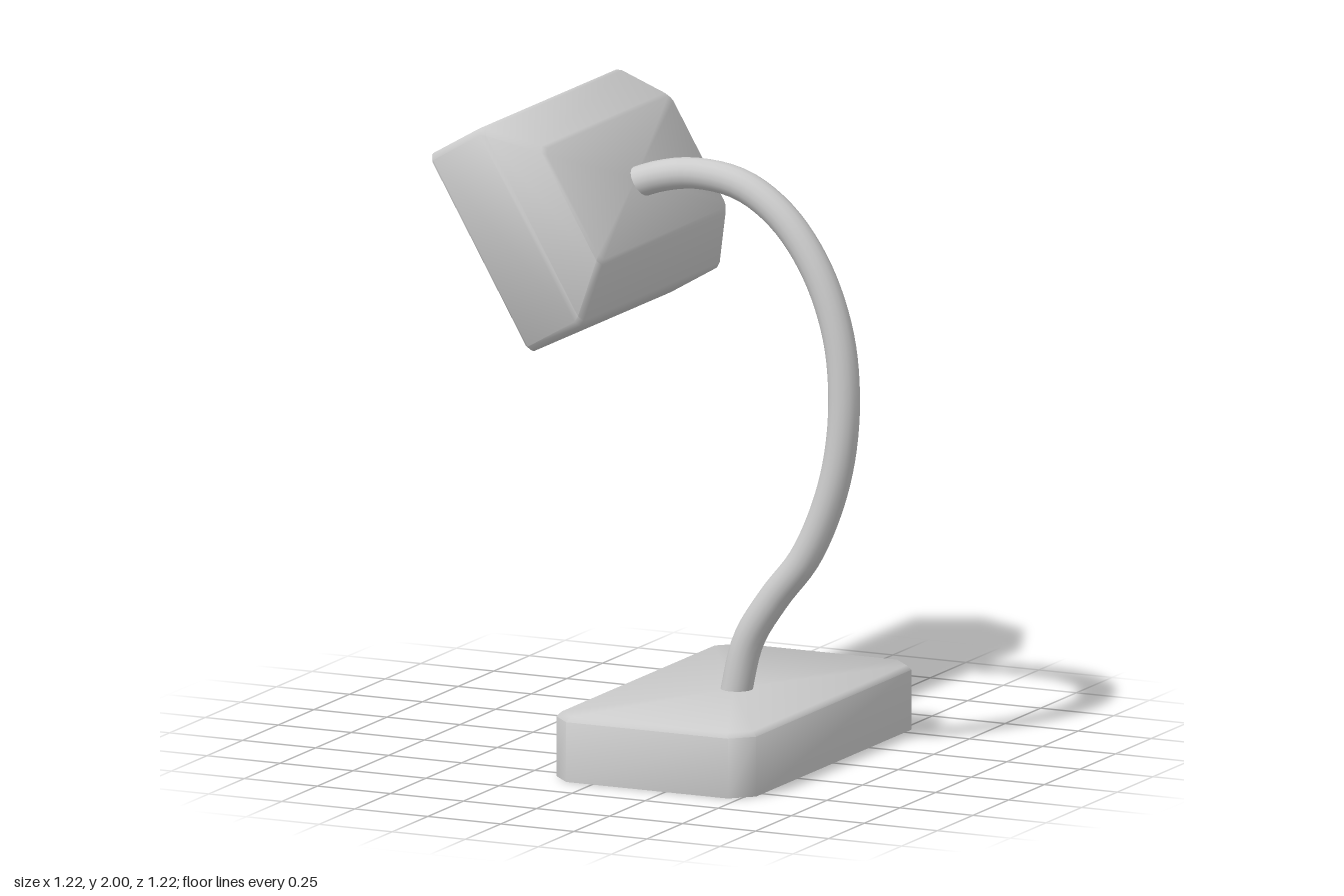
import * as THREE from 'three';
import { toCreasedNormals } from 'three/addons/utils/BufferGeometryUtils.js';

const material = new THREE.MeshStandardMaterial({ color: 0xcccccc });

// Rectangle with cut corners, as [x, z] points
function section(w, d, c) {
  return [
    [w, d - c], [w - c, d], [c - w, d], [-w, d - c],
    [-w, c - d], [c - w, -d], [w - c, -d], [w, c - d],
  ];
}

// Closed solid through a stack of sections [y, halfWidth, halfDepth, cornerCut]
function loft(rings, crease) {
  const pos = [], index = [], n = 8;
  for (const [y, w, d, c] of rings) {
    for (const [x, z] of section(w, d, c)) pos.push(x, y, z);
  }
  const last = (rings.length - 1) * n, centre = rings.length * n;
  pos.push(0, rings[0][0], 0, 0, rings[rings.length - 1][0], 0);
  for (let j = 0; j < n; j++) {
    const k = (j + 1) % n;
    for (let o = 0; o < last; o += n) {
      index.push(o + j, o + n + j, o + k, o + k, o + n + j, o + n + k);
    }
    index.push(centre, j, k, centre + 1, last + k, last + j);
  }
  const geometry = new THREE.BufferGeometry();
  geometry.setAttribute('position', new THREE.Float32BufferAttribute(pos, 3));
  geometry.setIndex(index);
  return toCreasedNormals(geometry, crease);
}

function addPart(parent, name, geometry) {
  const mesh = new THREE.Mesh(geometry, material);
  mesh.name = name;
  parent.add(mesh);
  return mesh;
}

export function createModel() {
  const model = new THREE.Group();
  model.name = 'deskLamp';

  // Heavy base with cut corners and a softened top edge
  const base = addPart(model, 'base', loft([
    [0, 0.342, 0.61, 0.065],
    [0.188, 0.342, 0.61, 0.065],
    [0.203, 0.328, 0.596, 0.06],
  ], 0.9));
  base.position.x = 0.188;

  // Curved neck, leaning slightly back near the top
  const path = new THREE.CatmullRomCurve3([
    [0.19, 0.17, 0], [0.238, 0.36, 0], [0.325, 0.5, 0], [0.43, 0.635, 0],
    [0.505, 0.8, -0.003], [0.548, 0.97, -0.006], [0.56, 1.16, -0.01],
    [0.535, 1.35, -0.016], [0.46, 1.54, -0.022], [0.345, 1.69, -0.028],
    [0.205, 1.78, -0.031], [0.05, 1.805, -0.028], [-0.07, 1.788, -0.022],
    [-0.19, 1.745, -0.017],
  ].map((p) => new THREE.Vector3(...p)));
  addPart(model, 'neck', new THREE.TubeGeometry(path, 64, 0.049, 16));

  // Tilted head: recessed opening, straight sides, tapered back
  const head = new THREE.Group();
  head.name = 'head';
  head.position.set(-0.4425, 1.605, 0);
  head.rotation.z = -1.042;
  model.add(head);
  addPart(head, 'shade', loft([
    [0.035, 0.312, 0.47, 0.012],
    [0, 0.312, 0.47, 0.012],
    [0, 0.336, 0.494, 0.018],
    [0.008, 0.342, 0.5, 0.02],
    [0.192, 0.342, 0.5, 0.02],
    [0.21, 0.332, 0.497, 0.02],
    [0.332, 0.206, 0.453, 0.02],
    [0.341, 0.192, 0.442, 0.02],
  ], 0.9));

  // Light panel seated inside the opening
  addPart(head, 'lightPanel', loft([
    [0.018, 0.296, 0.454, 0.012],
    [0.04, 0.296, 0.454, 0.012],
  ], 0.5));

  return model;
}
